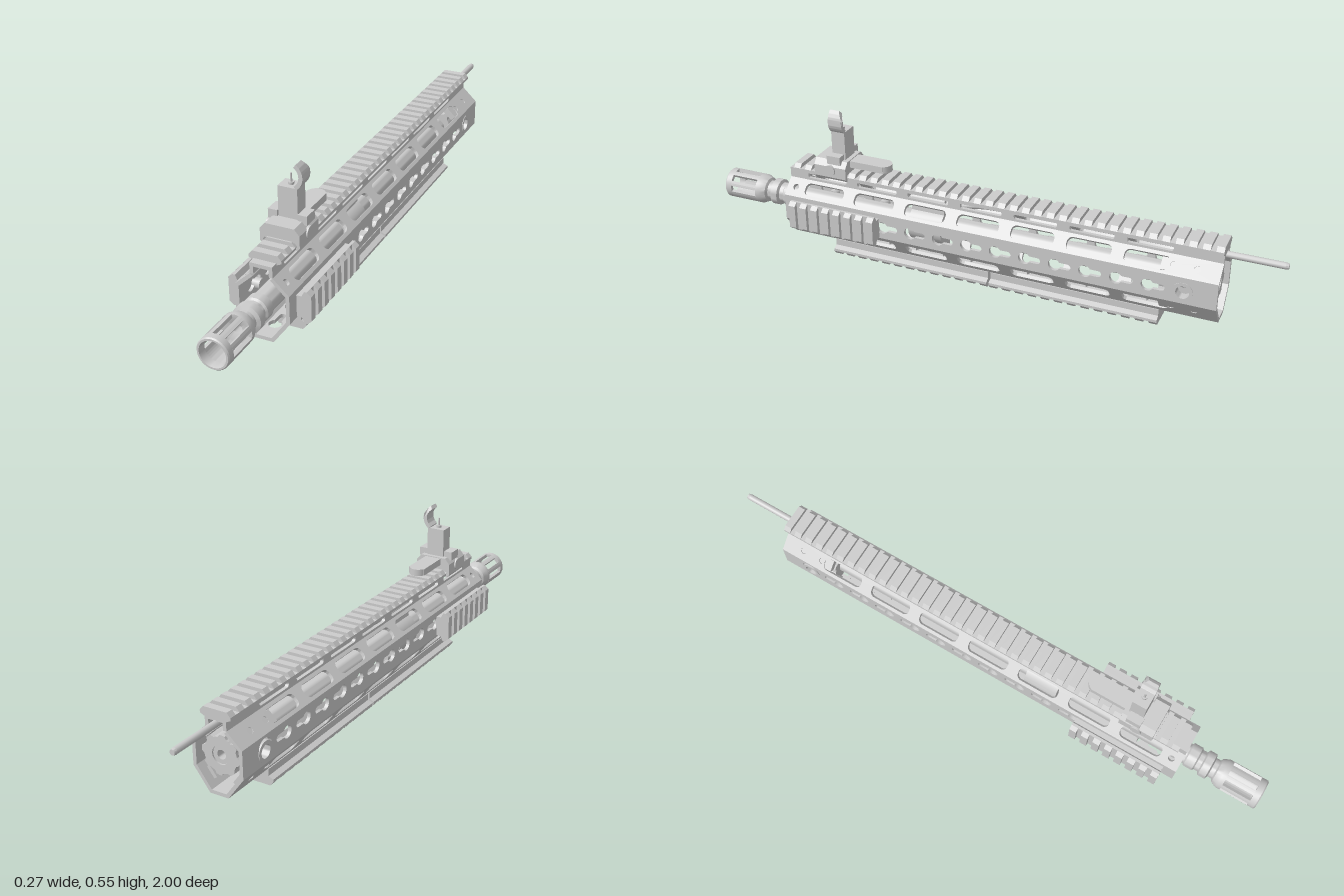
import * as THREE from 'three';
import { toCreasedNormals } from 'three/addons/utils/BufferGeometryUtils.js';

const MAT = new THREE.MeshStandardMaterial({ color: 0xcccccc, side: THREE.DoubleSide });
const BORE_Y = 0.177;

function add(parent, name, geo, x = 0, y = 0, z = 0) {
  const m = new THREE.Mesh(geo, MAT);
  m.name = name;
  m.position.set(x, y, z);
  parent.add(m);
  return m;
}
const poly = pts => new THREE.Shape(pts.map(p => new THREE.Vector2(p[0], p[1])));
const extrude = (shape, depth, segs = 8) => toCreasedNormals(
  new THREE.ExtrudeGeometry(shape, { depth, bevelEnabled: false, curveSegments: segs }), 0.6);
// Half outline (right side) mirrored into a closed symmetric shape
const symmetric = pts => poly([...pts, ...pts.slice().reverse().map(([x, y]) => [-x, y])]);
const box = (w, h, d) => new THREE.BoxGeometry(w, h, d);

// Turned part along z: profile of [radius, z]
function turned(parent, name, profile, y = BORE_Y, segs = 32) {
  const g = new THREE.LatheGeometry(profile.map(p => new THREE.Vector2(p[0], p[1])), segs);
  g.rotateX(Math.PI / 2);
  return add(parent, name, toCreasedNormals(g, 0.6), 0, y, 0);
}

// Hole outlines for the handguard plates (u runs along z, v across the plate)
function slotHole(u, v, len, w, r) {
  const p = new THREE.Path(), a = len / 2 - r, b = w / 2 - r, q = Math.PI / 2;
  [[a, b], [-a, b], [-a, -b], [a, -b]].forEach(([cu, cv], i) =>
    p.absarc(u + cu, v + cv, r, i * q, (i + 1) * q, false));
  p.closePath();
  return p;
}
function roundHole(u, v, r) {
  return new THREE.Path().absarc(u, v, r, 0, Math.PI * 2, false);
}
function keyHole(u, v) {
  const r = 0.021, w = 0.011, a = Math.asin(w / r), p = new THREE.Path();
  p.absarc(u, v, r, Math.PI + a, Math.PI * 3 - a, false);
  p.absarc(u - 0.045, v, w, Math.PI / 2, Math.PI * 1.5, false);
  p.closePath();
  return p;
}

// Flat plate from a to b in the cross-section, thickened inwards
function plate(parent, name, a, b, z0, z1, holes) {
  const dir = new THREE.Vector3(b[0] - a[0], b[1] - a[1], 0), len = dir.length();
  dir.normalize();
  const s = poly([[z0, 0], [z1, 0], [z1, len], [z0, len]]);
  s.holes = holes(len);
  const zAxis = new THREE.Vector3(0, 0, 1);
  const basis = new THREE.Matrix4().makeBasis(zAxis, dir, zAxis.clone().cross(dir));
  basis.setPosition(a[0], a[1], 0);
  add(parent, name, extrude(s, 0.012).applyMatrix4(basis));
}

// Toothed accessory rail; its top is at local y = 0
function rail(name, length, teeth, height) {
  const g = new THREE.Group();
  g.name = name;
  const base = symmetric([[0.036, -height], [0.036, -0.031], [0.053, -0.023], [0.053, -0.014]]);
  add(g, name + 'Base', extrude(base, length), 0, 0, -length / 2);
  const pitch = length / (teeth - 0.42), w = pitch * 0.58;
  const geo = extrude(symmetric([[0.053, -0.014], [0.041, 0]]), w);
  for (let i = 0; i < teeth; i++) add(g, name + 'Tooth', geo, 0, 0, -length / 2 + i * pitch);
  return g;
}

function handguard() {
  const g = new THREE.Group();
  g.name = 'handguard';
  const z0 = -0.81, z1 = 0.725;
  const windows = (v, w, r) => Array.from({ length: 7 }, (_, i) => slotHole(0.58 - i * 0.1925, v, 0.15, w, r));
  const keys = v => Array.from({ length: 13 }, (_, i) => keyHole(0.655 - i * 0.1035, v));
  const screws = v => [-0.66, -0.735, 0.692].map(z => roundHole(z, v, 0.011));
  const holes = {
    lowerPlate: l => [...windows(l / 2, 0.052, 0.018), ...screws(l / 2)],
    sidePlate: l => [...keys(l / 2 - 0.005), roundHole(-0.7, l / 2 - 0.005, 0.033)],
    upperPlate: l => [...windows(l / 2, 0.046, 0.018), ...screws(l / 2)],
    railWall: l => windows(l / 2, 0.02, 0.008),
    topPlate: l => [],
    bottomPlate: l => keys(l / 2),
  };
  // Counter-clockwise outline from the bottom
  const right = [[0.032, 0.053], [0.088, 0.129], [0.088, 0.222], [0.037, 0.27], [0.037, 0.306]];
  const ring = [...right, ...right.slice().reverse().map(([x, y]) => [-x, y])];
  const names = ['lowerPlate', 'sidePlate', 'upperPlate', 'railWall', 'topPlate',
    'railWall', 'upperPlate', 'sidePlate', 'lowerPlate', 'bottomPlate'];
  names.forEach((n, i) => plate(g, n, ring[i], ring[(i + 1) % 10], z0, z1, holes[n]));

  for (const s of [-1, 1]) {
    // Sling socket near the rear
    const socket = new THREE.LatheGeometry([[0, -0.03], [0.022, -0.03], [0.022, 0.002], [0.034, 0.002],
      [0.034, -0.03], [0.022, -0.03]].map(p => new THREE.Vector2(...p)), 24);
    add(g, 'slingSocket', toCreasedNormals(socket, 0.6), s * 0.088, 0.17, -0.7).rotation.z = -s * Math.PI / 2;
    // Thick pads behind the rear screw holes
    for (const [x, y, t] of [[0.053, 0.236, -0.76], [0.05, 0.1, 0.93]]) {
      add(g, 'screwPad', box(0.042, 0.022, 0.16), s * x, y, -0.7).rotation.z = s * t;
    }
  }

  const top = rail('topRail', 1.51, 36, 0.033);
  top.position.set(0, 0.33, -0.055);
  g.add(top);
  for (const z of [0.268, -0.325]) {
    const r = rail('bottomRail', 0.585, 13, 0.054);
    r.position.z = z;
    r.rotation.z = Math.PI;
    g.add(r);
  }
  for (const s of [-1, 1]) {
    const r = rail('sideRail', 0.325, 8, 0.05);
    r.position.set(s * 0.136, 0.168, 0.52);
    r.rotation.z = -s * Math.PI / 2;
    g.add(r);
    for (const z of [0.42, 0.62]) {
      add(g, 'railScrew', new THREE.CylinderGeometry(0.018, 0.018, 0.04, 16), s * 0.08, 0.168, z)
        .rotation.z = Math.PI / 2;
    }
  }
  return g;
}

function barrel() {
  const g = new THREE.Group();
  g.name = 'barrel';
  turned(g, 'barrelTube', [[0.015, -0.79], [0.036, -0.79], [0.036, 0.73], [0.042, 0.735], [0.042, 0.765], [0.036, 0.77],
    [0.036, 0.785], [0.046, 0.79], [0.046, 0.815], [0.034, 0.82], [0.034, 0.835], [0.043, 0.84],
    [0.052, 0.86], [0.052, 0.875], [0.04, 0.875], [0.015, 0.865], [0.015, -0.79]]);
  // Slotted muzzle: five slots across the upper half, solid below
  const sector = (a0, a1) => {
    const s = new THREE.Shape();
    s.absarc(0, 0, 0.052, a0, a1, false);
    s.absarc(0, 0, 0.04, a1, a0, true);
    s.closePath();
    return extrude(s, 0.1, 16);
  };
  const half = 0.22, step = Math.PI / 4;
  for (let i = 0; i < 4; i++) add(g, 'muzzleBar', sector(i * step + half, (i + 1) * step - half), 0, BORE_Y, 0.875);
  add(g, 'muzzleFloor', sector(Math.PI + half, Math.PI * 2 - half), 0, BORE_Y, 0.875);
  turned(g, 'muzzleRing', [[0.04, 0.975], [0.052, 0.975], [0.052, 0.996], [0.049, 1], [0.043, 1], [0.04, 0.99], [0.04, 0.975]]);

  // Scalloped barrel nut
  const nut = new THREE.Shape();
  for (let i = 0; i < 48; i++) {
    const a = i / 48 * Math.PI * 2, r = i % 6 < 3 ? 0.066 : 0.058;
    nut[i ? 'lineTo' : 'moveTo'](r * Math.cos(a), r * Math.sin(a));
  }
  nut.holes.push(roundHole(0, 0, 0.03));
  add(g, 'barrelNut', extrude(nut, 0.18), 0, BORE_Y, -0.795);

  // Gas block around the barrel with a raised tube housing
  const block = new THREE.Shape();
  block.absarc(0, 0.09, 0.026, 0, Math.PI, false);
  block.lineTo(-0.028, 0.055);
  block.absarc(0, 0, 0.062, Math.PI * 0.65, Math.PI * 1.42, false);
  block.lineTo(-0.013, -0.079);
  block.lineTo(0.013, -0.079);
  block.absarc(0, 0, 0.062, Math.PI * 1.58, Math.PI * 2.35, false);
  block.lineTo(0.028, 0.055);
  add(g, 'gasBlock', extrude(block, 0.12, 12), 0, BORE_Y, 0.14);
  turned(g, 'gasBlockPlug', [[0, 0.275], [0.012, 0.275], [0.012, 0.25]], 0.262, 16);
  // Gas tube: leaves the block, rises and runs out past the rear
  const path = new THREE.CatmullRomCurve3([[0.2, 0.265], [0.1, 0.268], [0, 0.283], [-0.1, 0.285], [-0.5, 0.285], [-0.99, 0.285]]
    .map(([z, y]) => new THREE.Vector3(0, y, z)));
  add(g, 'gasTube', new THREE.TubeGeometry(path, 40, 0.011, 12));
  turned(g, 'gasTubeEnd', [[0, -1], [0.009, -1], [0.011, -0.99]], 0.285, 12);
  return g;
}

function frontSight() {
  const g = new THREE.Group();
  g.name = 'frontSight';
  // Clamp straddling the top rail
  const clamp = symmetric([[0.03, 0.326], [0.05, 0.326], [0.056, 0.318], [0.05, 0.306], [0.057, 0.302],
    [0.065, 0.312], [0.065, 0.352], [0.048, 0.372]]);
  add(g, 'sightClamp', extrude(clamp, 0.12), 0, 0, 0.49);
  for (const s of [-1, 1]) {
    add(g, 'hingeLug', box(0.03, 0.03, 0.05), s * 0.049, 0.377, 0.535);
    add(g, 'clampScrew', new THREE.CylinderGeometry(0.02, 0.02, 0.012, 16), s * 0.064, 0.338, 0.55).rotation.z = Math.PI / 2;
  }
  add(g, 'hingePin', new THREE.CylinderGeometry(0.009, 0.009, 0.124, 14), 0, 0.38, 0.535).rotation.z = Math.PI / 2;
  // Rear shelf that the folded post rests on
  add(g, 'sightShelf', box(0.06, 0.024, 0.13), 0, 0.357, 0.43);
  add(g, 'shelfEnd', new THREE.CylinderGeometry(0.03, 0.03, 0.024, 20), 0, 0.357, 0.376);

  // Upright post
  add(g, 'sightPost', box(0.064, 0.112, 0.05), 0, 0.416, 0.53);
  // Curved ears: open ring whose depth narrows toward the tips
  const cy = 0.509, lo = -0.98, hi = 0.95;
  const ear = new THREE.Shape();
  ear.absarc(0, 0, 0.05, lo, hi, false);
  ear.absarc(0, 0, 0.037, hi, lo, true);
  ear.closePath();
  for (const s of [-1, 1]) {
    const geo = extrude(ear, 0.05, 18), p = geo.attributes.position;
    for (let i = 0; i < p.count; i++) {
      if (p.getZ(i) < 0.01) p.setZ(i, Math.max(0, p.getY(i) - 0.015) * 0.6);
    }
    const m = add(g, 'sightEar', toCreasedNormals(geo, 0.6), 0, cy, 0.505);
    if (s < 0) {
      geo.scale(-1, 1, 1);
      m.geometry = toCreasedNormals(new THREE.BufferGeometry().copy(m.geometry).scale(-1, 1, 1), 0.6);
    }
  }
  add(g, 'sightPinBase', new THREE.CylinderGeometry(0.009, 0.009, 0.008, 12), 0, 0.476, 0.53);
  add(g, 'sightPin', new THREE.CylinderGeometry(0.003, 0.004, 0.032, 8), 0, 0.492, 0.53);
  return g;
}

export function createModel() {
  const model = new THREE.Group();
  model.name = 'railedHandguard';
  model.add(handguard(), barrel(), frontSight());
  return model;
}
